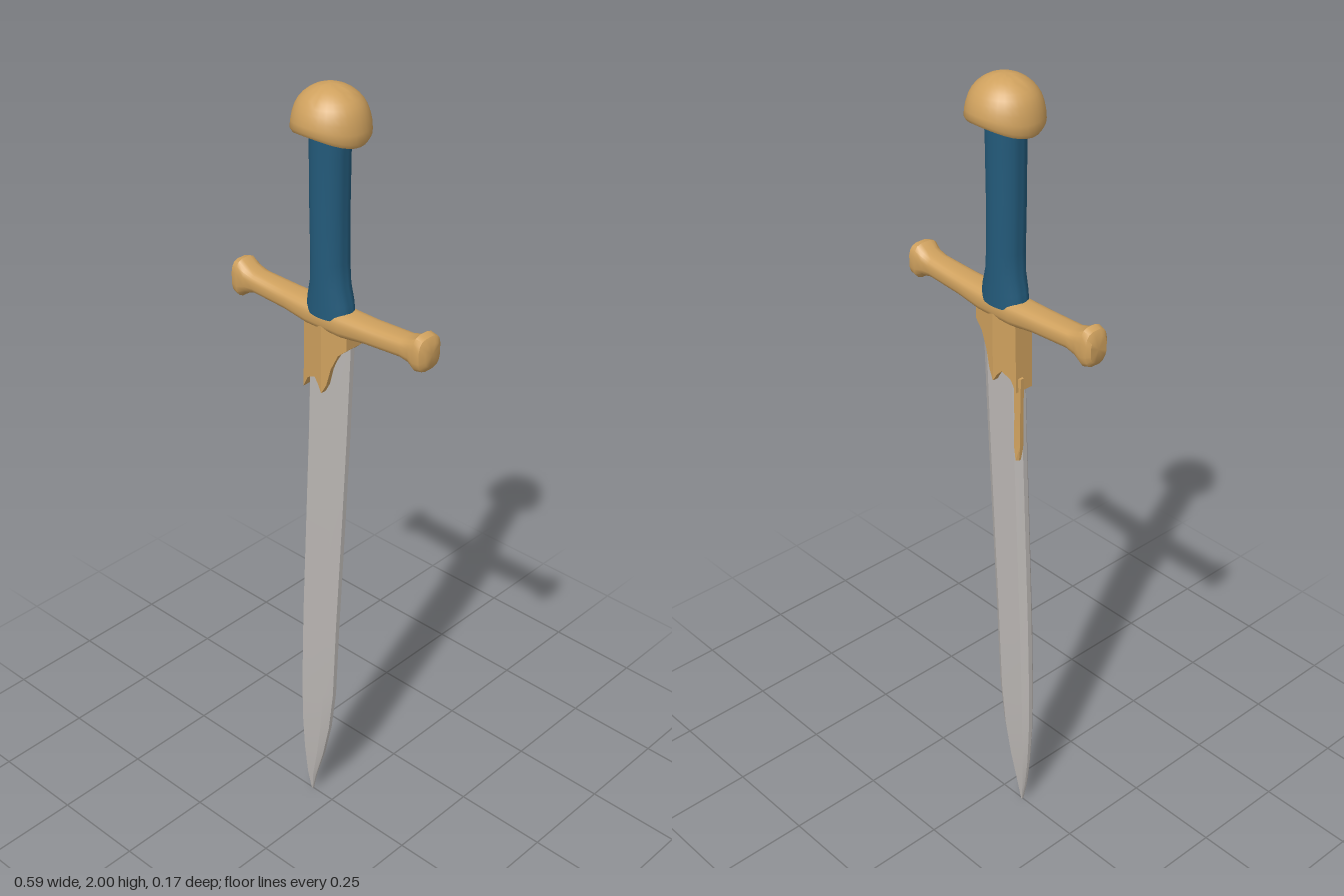
import * as THREE from 'three';
import { toCreasedNormals } from 'three/addons/utils/BufferGeometryUtils.js';

const gold = new THREE.MeshStandardMaterial({ color: 0xcfa15e });
gold.name = 'gold';
const blue = new THREE.MeshStandardMaterial({ color: 0x235a7a });
blue.name = 'blue leather';
const steel = new THREE.MeshStandardMaterial({ color: 0xbbb7b4 });
steel.name = 'steel';

// Skin closed rings of [x, y, z] points and cap both ends
function loft(rings, crease) {
  const n = rings[0].length;
  const pos = [];
  const tri = (...pts) => pts.forEach((p) => pos.push(...p));
  const middle = (ring) => [0, 1, 2].map((k) => ring.reduce((s, p) => s + p[k], 0) / n);
  const first = rings[0], last = rings[rings.length - 1];
  const c0 = middle(first), c1 = middle(last);
  for (let j = 0; j < n; j++) {
    const k = (j + 1) % n;
    for (let i = 0; i < rings.length - 1; i++) {
      const a = rings[i], b = rings[i + 1];
      tri(a[j], a[k], b[k]);
      tri(a[j], b[k], b[j]);
    }
    tri(c0, first[k], first[j]);
    tri(c1, last[j], last[k]);
  }
  const geo = new THREE.BufferGeometry();
  geo.setAttribute('position', new THREE.Float32BufferAttribute(pos, 3));
  return toCreasedNormals(geo, crease);
}

const angles = (n) => Array.from({ length: n }, (_, i) => ((i + 0.5) / n) * Math.PI * 2);
const squash = (v, e) => Math.sign(v) * Math.abs(v) ** e;

export function createModel() {
  const group = new THREE.Group();
  const add = (name, geo, mat) => {
    const mesh = new THREE.Mesh(geo, mat);
    mesh.name = name;
    group.add(mesh);
  };

  // Blade: y, left edge, right edge, half thickness
  const bladeRings = [
    [0.0, -0.072, -0.068, 0.003],
    [0.06, -0.083, -0.055, 0.009],
    [0.15, -0.093, -0.028, 0.014],
    [0.25, -0.098, -0.006, 0.018],
    [0.37, -0.099, 0.009, 0.02],
    [0.6, -0.092, 0.02, 0.021],
    [0.9, -0.079, 0.038, 0.021],
    [1.15, -0.068, 0.052, 0.021],
    [1.45, -0.058, 0.066, 0.021],
  ].map(([y, l, r, t]) => {
    const w = r - l, e = t * 0.3;
    const a = l + w * 0.12, b = r - w * 0.2;
    return [[r, y, e], [r, y, -e], [b, y, -t], [a, y, -t],
      [l, y, -e], [l, y, e], [a, y, t], [b, y, t]];
  });
  add('blade', loft(bladeRings, 0.4), steel);

  // Collar: two halves meeting at a raised centre ridge, notched lower edge
  const halves = {
    collarRight: [[0, 1.46], [-0.062, 1.46], [-0.066, 1.265], [-0.05, 1.295],
      [-0.025, 1.308], [-0.012, 1.295], [0, 1.275]],
    collarLeft: [[0, 1.46], [0, 1.275], [0.014, 1.3], [0.026, 1.345],
      [0.045, 1.385], [0.068, 1.405], [0.068, 1.46]],
  };
  for (const [name, pts] of Object.entries(halves)) {
    const shape = new THREE.Shape(pts.map(([x, y]) => new THREE.Vector2(x, y)));
    const geo = new THREE.ExtrudeGeometry(shape, { depth: 1, bevelEnabled: false });
    const p = geo.attributes.position;
    for (let i = 0; i < p.count; i++) {
      const half = 0.036 - 0.17 * Math.abs(p.getX(i));
      p.setZ(i, p.getZ(i) > 0.5 ? half : -half);
    }
    add(name, toCreasedNormals(geo, 0.4), gold);
  }

  // Narrow tongue running down the back of one blade edge
  const tongue = [[1.08, 0.002], [1.12, 0.008], [1.2, 0.007], [1.3, 0.01]].map(([y, w]) =>
    [[-0.064 + w, y, -0.006], [-0.064 + w, y, -0.022], [-0.066 - w * 0.6, y, -0.016], [-0.066 - w * 0.6, y, -0.006]]);
  add('collarTongue', loft(tongue, 0.4), gold);

  // Crossguard: x, centre y, half height, half depth
  const guardRings = [
    [-0.296, 1.466, 0.030, 0.024],
    [-0.288, 1.467, 0.043, 0.032],
    [-0.272, 1.467, 0.048, 0.034],
    [-0.252, 1.468, 0.033, 0.032],
    [-0.225, 1.468, 0.024, 0.031],
    [-0.12, 1.464, 0.024, 0.034],
    [-0.05, 1.459, 0.029, 0.037],
    [0.05, 1.459, 0.029, 0.037],
    [0.12, 1.464, 0.024, 0.034],
    [0.225, 1.470, 0.024, 0.031],
    [0.25, 1.471, 0.031, 0.032],
    [0.268, 1.472, 0.044, 0.037],
    [0.286, 1.472, 0.040, 0.036],
    [0.295, 1.472, 0.026, 0.024],
  ].map(([x, y, h, d]) => angles(16).map((t) =>
    [x, y + h * squash(Math.cos(t), 0.65), d * squash(Math.sin(t), 0.65)]));
  add('crossguard', loft(guardRings, 0.7), gold);

  // Grip: y, centre x, half width, half depth
  const gripRings = [
    [1.47, -0.003, 0.064, 0.042],
    [1.505, -0.003, 0.060, 0.042],
    [1.545, -0.004, 0.049, 0.042],
    [1.6, -0.005, 0.045, 0.043],
    [1.72, -0.006, 0.046, 0.043],
    [1.85, -0.005, 0.047, 0.044],
    [1.93, -0.004, 0.050, 0.045],
  ].map(([y, cx, w, d]) => angles(24).map((t) => [cx + w * Math.cos(t), y, -d * Math.sin(t)]));
  add('grip', loft(gripRings, 0.9), blue);

  // Pommel: dome whose rim dips toward both sides
  const profile = [[0, 1.905], [0.045, 1.905], [0.084, 1.905], [0.09, 1.914]];
  for (let i = 1; i <= 10; i++) {
    const t = (i / 10) * Math.PI / 2;
    profile.push([0.09 * Math.cos(t), 1.914 + 0.086 * Math.sin(t)]);
  }
  const dome = new THREE.LatheGeometry(profile.map(([r, y]) => new THREE.Vector2(Math.max(r, 0), y)), 32);
  const p = dome.attributes.position;
  for (let i = 0; i < p.count; i++) {
    const x = p.getX(i), y = p.getY(i);
    const fade = THREE.MathUtils.clamp((1.96 - y) / 0.055, 0, 1);
    p.setY(i, y - 0.026 * fade * (x / 0.09) ** 2);
    p.setX(i, x - 0.003);
    p.setZ(i, p.getZ(i) * 0.94 - 0.001);
  }
  add('pommel', toCreasedNormals(dome, 0.8), gold);

  return group;
}
